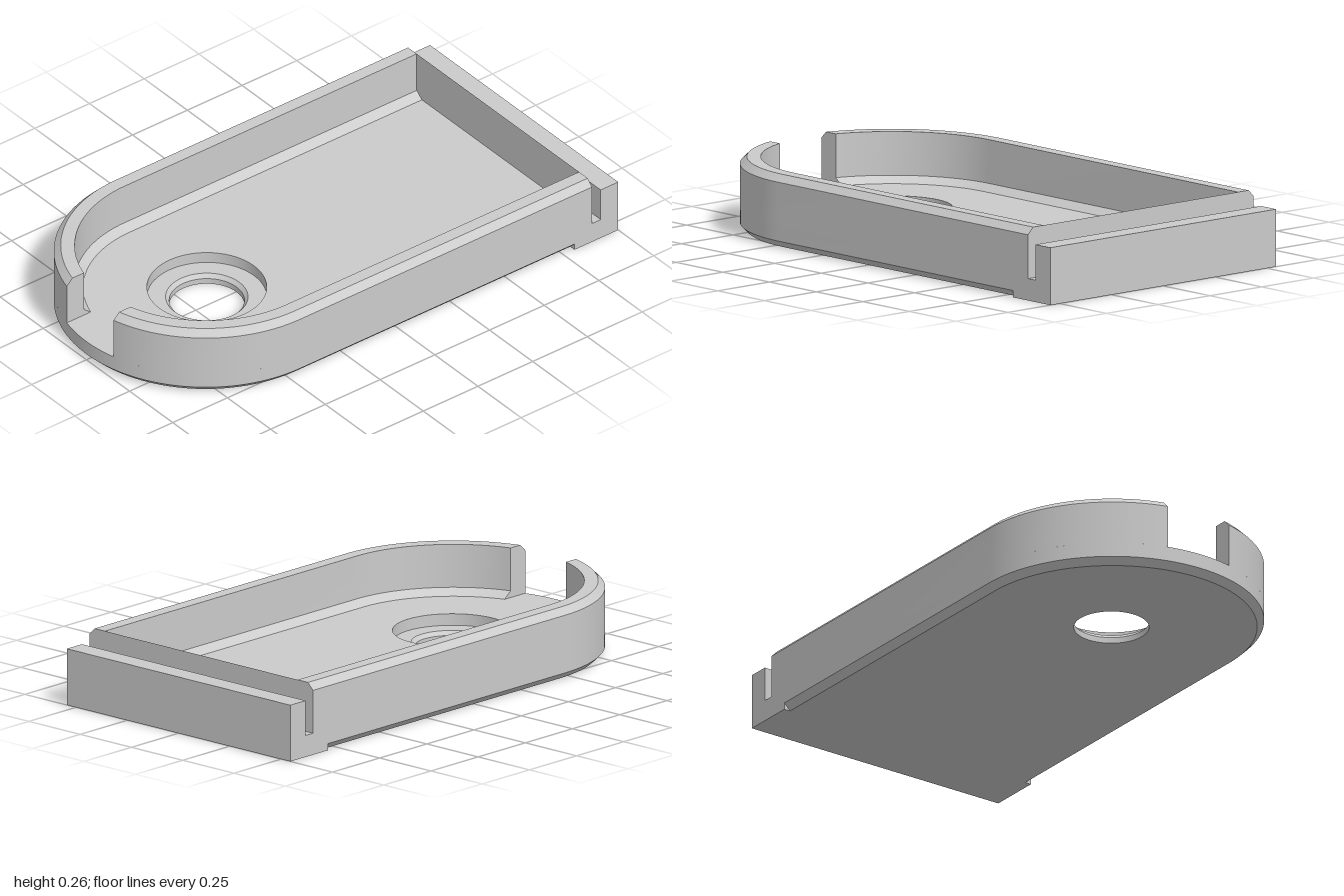
import * as THREE from 'three';
import { toCreasedNormals } from 'three/addons/utils/BufferGeometryUtils.js';

const R = 0.545;        // half width and front radius
const CZ = 0.455;       // centre of the round front
const FLOOR = 0.08;     // tray floor height
const WALL_BACK = -0.88;
const BASE_BACK = -0.8;
const HOLE_Z = 0.45;
const ARC = 32;

// Round-fronted outline inset by d, from the front gap round the back to the gap again
function outline(d, halfGap, backZ) {
  const r = R - d, a0 = Math.asin(halfGap / r), right = [];
  for (let k = 0; k <= ARC; k++) {
    const a = a0 + (Math.PI / 2 - a0) * k / ARC;
    right.push([r * Math.sin(a), CZ + r * Math.cos(a)]);
  }
  right.push([r, backZ]);
  return [...right, ...right.map(([x, z]) => [-x, z]).reverse()];
}

// Sweep a section of [x/z points, y] rails; optional end caps as triangles of the section
function sweep(rails, caps = []) {
  const pos = [];
  const put = (i, j) => pos.push(rails[j].pts[i][0], rails[j].y, rails[j].pts[i][1]);
  const last = rails[0].pts.length - 1;
  for (let i = 0; i < last; i++) {
    for (let j = 0; j < rails.length - 1; j++) {
      put(i, j); put(i + 1, j); put(i + 1, j + 1);
      put(i, j); put(i + 1, j + 1); put(i, j + 1);
    }
  }
  for (const [a, b, c] of caps) {
    put(0, a); put(0, b); put(0, c);
    put(last, a); put(last, c); put(last, b);
  }
  const g = new THREE.BufferGeometry();
  g.setAttribute('position', new THREE.Float32BufferAttribute(pos, 3));
  return toCreasedNormals(g, 0.4);
}

// Flat horizontal plate with a round hole, facing up (side 1) or down (side -1)
function plate(d, holeR, y, side) {
  const pts = outline(d, 0, BASE_BACK).slice(0, -1);
  const shape = new THREE.Shape(pts.map(([x, z]) => new THREE.Vector2(x, -side * z)));
  const hole = new THREE.Path();
  hole.absarc(0, -side * HOLE_Z, holeR, 0, Math.PI * 2, true);
  shape.holes.push(hole);
  return new THREE.ShapeGeometry(shape, 32).rotateX(-side * Math.PI / 2).translate(0, y, 0);
}

export function createModel() {
  const group = new THREE.Group();
  const mat = new THREE.MeshStandardMaterial({ color: 0xcccccc });
  const add = (name, geo) => {
    const mesh = new THREE.Mesh(geo, mat);
    mesh.name = name;
    group.add(mesh);
  };

  // Base: chamfered rim, floor and underside
  const rim = [[0.025, 0], [0, 0.025], [0, FLOOR]];
  add('baseRim', sweep(rim.map(([d, y]) => ({ pts: outline(d, 0, BASE_BACK), y }))));
  add('trayFloor', plate(0, 0.215, FLOOR, 1));
  add('underside', plate(0.025, 0.135, 0, -1));

  // Counterbored hole with a small chamfer
  const bore = [[0.215, FLOOR], [0.215, 0.037], [0.148, 0.037], [0.135, 0.022], [0.135, 0]];
  const lathe = new THREE.LatheGeometry(bore.map(([x, y]) => new THREE.Vector2(x, y)), 64);
  add('counterboredHole', toCreasedNormals(lathe, 0.4).translate(0, 0, HOLE_Z));

  // Surrounding wall, chamfered at top and foot, open at the front notch
  const section = [[0, FLOOR], [0, 0.24], [0.025, 0.265], [0.075, 0.265], [0.075, 0.105], [0.105, FLOOR]];
  add('wall', sweep(
    section.map(([d, y]) => ({ pts: outline(d, 0.135, WALL_BACK), y })),
    [[4, 5, 0], [4, 0, 1], [4, 1, 2], [4, 2, 3]],
  ));

  // Square back end: groove floor and upright end plate
  const profile = [[0.8, 0], [1, 0], [1, 0.21], [0.92, 0.21], [0.92, FLOOR], [0.8, FLOOR]];
  const end = new THREE.ExtrudeGeometry(
    new THREE.Shape(profile.map(([u, y]) => new THREE.Vector2(u, y))),
    { depth: 2 * R, bevelEnabled: false },
  );
  add('backEndPlate', end.rotateY(Math.PI / 2).translate(-R, 0, 0));

  return group;
}
